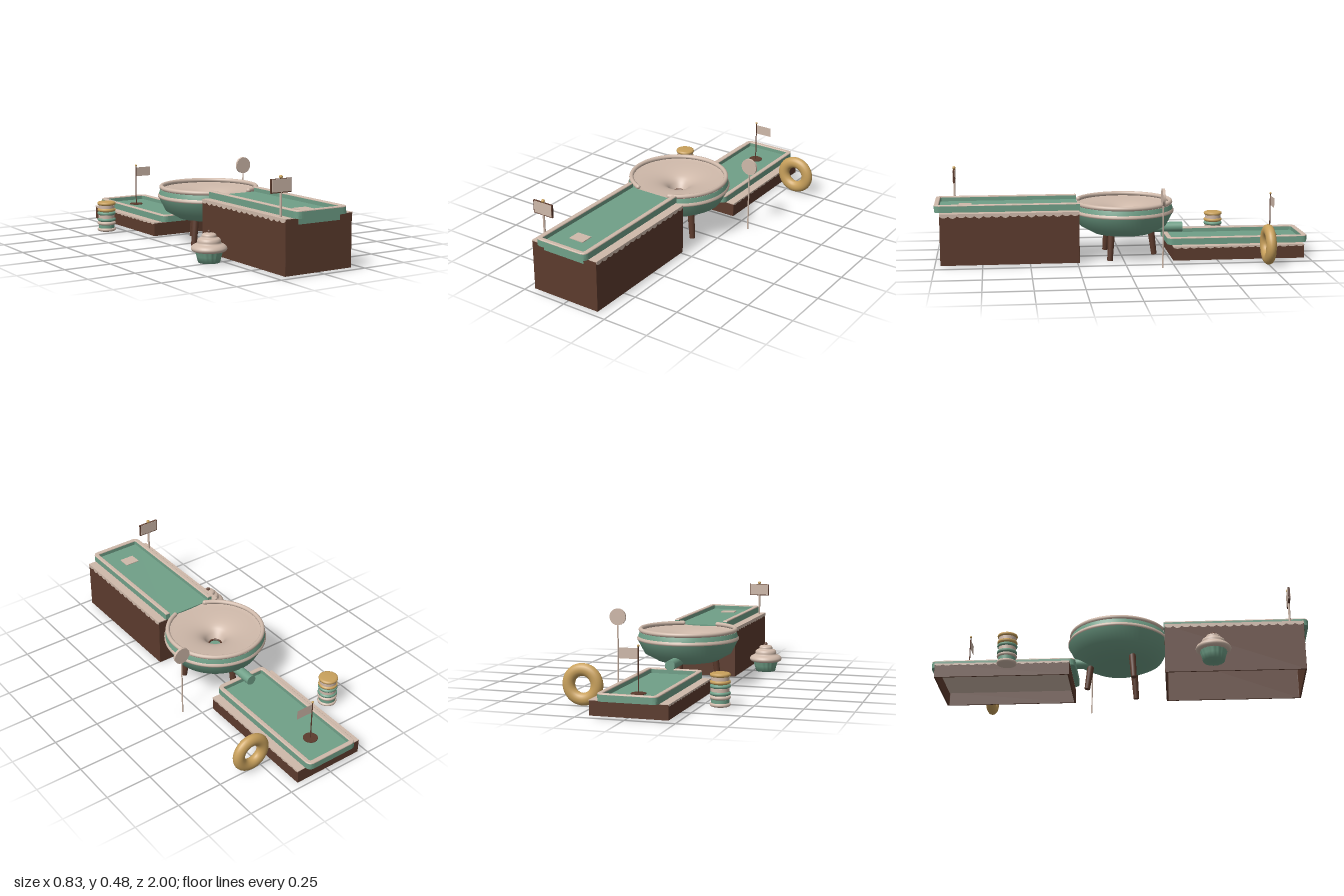
import * as THREE from 'three';

const mat = (name, color) => Object.assign(new THREE.MeshStandardMaterial({ color, side: THREE.DoubleSide }), { name });
const CX = -0.01, BZ = -0.01; // shared lane axis and bowl centre

export function createModel() {
  const cream = mat('cream', 0xcfb9aa), green = mat('mint green', 0x70a088);
  const brown = mat('chocolate brown', 0x5c3b2d), gold = mat('biscuit gold', 0xc9a15c);
  const root = new THREE.Group();
  const group = (name) => { const g = new THREE.Group(); g.name = name; root.add(g); return g; };
  const add = (parent, name, geo, m, x = 0, y = 0, z = 0) => {
    const mesh = new THREE.Mesh(geo, m);
    mesh.name = name;
    mesh.position.set(x, y, z);
    parent.add(mesh);
    return mesh;
  };
  const box = (w, h, d) => new THREE.BoxGeometry(w, h, d);
  const cyl = (r, h, n = 24) => new THREE.CylinderGeometry(r, r, h, n);
  const ball = (r) => new THREE.SphereGeometry(r, 16, 12);
  const lathe = (pts, n = 48) => new THREE.LatheGeometry(pts.map(p => new THREE.Vector2(...p)), n);

  // Outline on the ground plane (x, z); extrusions hang down from their top
  const roundRect = (S, x0, x1, z0, z1, r) => {
    const s = new S();
    s.moveTo(x0 + r, z0);
    s.lineTo(x1 - r, z0); s.quadraticCurveTo(x1, z0, x1, z0 + r);
    s.lineTo(x1, z1 - r); s.quadraticCurveTo(x1, z1, x1 - r, z1);
    s.lineTo(x0 + r, z1); s.quadraticCurveTo(x0, z1, x0, z1 - r);
    s.lineTo(x0, z0 + r); s.quadraticCurveTo(x0, z0, x0 + r, z0);
    return s;
  };
  const ring = (hw, z0, z1, t, r) => {
    const s = roundRect(THREE.Shape, -hw, hw, z0, z1, r);
    s.holes.push(roundRect(THREE.Path, -hw + t, hw - t, z0 + t, z1 - t, Math.max(r - t, 0.004)));
    return s;
  };
  const uShape = (hw, z0, z1, t, r) => {
    const s = new THREE.Shape(), i = hw - t, q = Math.max(r - t, 0.004), e = z1 - t;
    s.moveTo(hw, z0);
    s.lineTo(hw, z1 - r); s.quadraticCurveTo(hw, z1, hw - r, z1);
    s.lineTo(-hw + r, z1); s.quadraticCurveTo(-hw, z1, -hw, z1 - r);
    s.lineTo(-hw, z0); s.lineTo(-i, z0);
    s.lineTo(-i, e - q); s.quadraticCurveTo(-i, e, -i + q, e);
    s.lineTo(i - q, e); s.quadraticCurveTo(i, e, i, e - q);
    s.lineTo(i, z0);
    return s;
  };
  const extrude = (shape, depth, bevel = 0) => new THREE.ExtrudeGeometry(shape, {
    depth, curveSegments: 8, bevelEnabled: bevel > 0, bevelSize: bevel, bevelThickness: bevel,
    bevelOffset: -bevel, bevelSegments: 3,
  }).rotateX(Math.PI / 2);

  // Thin icing strip with a scalloped lower edge
  const dripStrip = (len, h, drop) => {
    const s = new THREE.Shape(), n = Math.round(len / 0.045), w = len / n;
    s.moveTo(-len / 2, h);
    s.lineTo(-len / 2, drop);
    for (let i = 0; i < n; i++) {
      const x = -len / 2 + i * w, d = drop * (i % 3 === 1 ? -0.4 : 0.1);
      s.quadraticCurveTo(x + w / 2, d - drop, x + w, drop);
    }
    s.lineTo(len / 2, h);
    return new THREE.ExtrudeGeometry(s, { depth: 0.002, bevelEnabled: false, curveSegments: 5 });
  };

  // A cake base, open underneath, with icing on top and a railed lane
  const section = (name, baseTop, b0, b1, l0, l1, open) => {
    const g = group(name), W = 0.395, L = b1 - b0, zc = (b0 + b1) / 2, low = baseTop < 0.2;
    g.position.x = CX;
    add(g, 'cakeBase', extrude(ring(W / 2, b0, b1, 0.008, 0.001), baseTop - 0.007), brown, 0, baseTop - 0.003);
    add(g, 'icingTop', box(W, 0.005, L), cream, 0, baseTop - 0.0025, zc);
    const drop = low ? 0.006 : 0.01, h = low ? 0.012 : 0.022;
    for (const s of [-1, 1]) {
      add(g, 'sideDrips', dripStrip(L, h, drop), cream, s * W / 2, baseTop - h, zc).rotation.y = s * Math.PI / 2;
    }
    // Lane floor, wall and rail
    const hw = 0.153, t = 0.025, top = baseTop + 0.04;
    add(g, 'laneFloor', extrude(roundRect(THREE.Shape, -hw + 0.004, hw - 0.004, l0 + 0.002, l1 - 0.002, 0.02), 0.012), green, 0, baseTop + 0.013);
    const outline = (tt) => (open ? uShape : ring)(hw, l0, l1, tt, 0.035);
    add(g, 'laneWall', extrude(outline(t), 0.033), green, 0, top - 0.007);
    add(g, 'laneRail', extrude(outline(t), 0.001, 0.005), cream, 0, top - 0.006);
    return g;
  };
  const start = section('startLane', 0.278, 0.24, 0.97, 0.235, 1.0, true);
  add(start, 'lanePanel', box(0.245, 0.032, 0.006), green, 0, 0.262, 0.97);
  add(start, 'teePad', box(0.082, 0.004, 0.068), cream, 0, 0.293, 0.84);
  const finish = section('finishLane', 0.08, -0.97, -0.26, -1.0, -0.235, false);
  add(finish, 'cup', cyl(0.038, 0.004), brown, 0, 0.0945, -0.825);
  add(finish, 'flagPole', cyl(0.003, 0.235, 10), brown, 0, 0.21, -0.825);
  add(finish, 'flagKnob', ball(0.006), gold, 0, 0.326, -0.825);
  add(finish, 'flag', new THREE.PlaneGeometry(0.095, 0.053), cream, 0.049, 0.287, -0.825);

  // Funnel bowl
  const bowl = group('funnelBowl');
  bowl.position.set(CX, 0, BZ);
  add(bowl, 'bowlShell', lathe([[0, 0.12], [0.1, 0.12], [0.165, 0.133], [0.235, 0.172], [0.272, 0.243],
    [0.271, 0.26], [0.262, 0.287]], 64), green);
  add(bowl, 'bowlBand', lathe([[0.268, 0.241], [0.275, 0.245], [0.276, 0.253], [0.27, 0.263]], 64), cream);
  const funnel = [[0.262, 0.287]];
  for (let i = 0; i <= 12; i++) {
    const r = 0.245 - i * 0.0175;
    funnel.push([r, 0.283 - 0.0035 * (1 / r - 1 / 0.245)]);
  }
  add(bowl, 'funnel', lathe(funnel, 64), cream);
  add(bowl, 'drainRing', new THREE.TorusGeometry(0.033, 0.005, 8, 32).rotateX(Math.PI / 2), brown, 0, 0.2, 0);
  add(bowl, 'drain', cyl(0.03, 0.07), green, 0, 0.157, 0);
  // Rim with a gap where the lane enters
  const gap = 0.4;
  const rim = add(bowl, 'bowlRim', new THREE.TorusGeometry(0.256, 0.012, 12, 72, Math.PI * 2 - gap * 2), cream, 0, 0.298, 0);
  rim.rotation.set(Math.PI / 2, 0, Math.PI / 2 + gap);
  for (const s of [-1, 1]) {
    add(bowl, 'rimEnd', ball(0.012), cream, s * 0.256 * Math.sin(gap), 0.298, 0.256 * Math.cos(gap));
  }
  add(bowl, 'outletPipe', cyl(0.027, 0.2).rotateX(Math.PI / 2), green, 0, 0.15, -0.225);
  // Three splayed legs
  for (let i = 0; i < 3; i++) {
    const pivot = new THREE.Group();
    pivot.name = 'leg';
    pivot.rotation.y = Math.PI + i * Math.PI * 2 / 3;
    bowl.add(pivot);
    add(pivot, 'legPost', new THREE.CylinderGeometry(0.019, 0.015, 0.15, 16), brown, 0, 0.075, 0.161).rotation.x = -0.13;
  }

  // Sign beside the start
  const sign = group('sign');
  sign.position.set(-0.186, 0, 0.9);
  add(sign, 'signPost', cyl(0.006, 0.13, 12), cream, 0, 0.335, 0);
  add(sign, 'signBoard', box(0.118, 0.068, 0.01), brown, 0, 0.426, 0);
  for (const s of [-1, 1]) add(sign, 'signFace', box(0.108, 0.062, 0.002), cream, 0, 0.428, s * 0.0055);
  add(sign, 'signKnob', ball(0.009), gold, 0, 0.468, 0);

  // Lollipop
  const lolly = group('lollipop');
  lolly.position.set(0.33, 0, -0.183);
  add(lolly, 'stick', cyl(0.004, 0.335, 10), cream, 0, 0.1675, 0);
  add(lolly, 'candyDisc', cyl(0.045, 0.013, 40).rotateX(Math.PI / 2), cream, 0, 0.373, 0);

  // Doughnut standing on edge
  const nut = group('doughnut');
  add(nut, 'doughnutRing', new THREE.TorusGeometry(0.0745, 0.032, 20, 48).scale(1, 1, 0.85), gold, 0.308, 0.1075, -0.745);

  // Cupcake with a fluted wrapper
  const cake = group('cupcake');
  cake.position.set(-0.325, 0, 0.49);
  const wrapper = lathe([[0, 0.004], [0.054, 0.004], [0.062, 0.035], [0.071, 0.066]], 64);
  const p = wrapper.attributes.position;
  for (let i = 0; i < p.count; i++) {
    const k = 1 + 0.025 * Math.cos(16 * Math.atan2(p.getX(i), p.getZ(i)));
    p.setXYZ(i, p.getX(i) * k, p.getY(i), p.getZ(i) * k);
  }
  wrapper.computeVertexNormals();
  add(cake, 'wrapper', wrapper, green);
  const swirl = new THREE.SplineCurve([[0.06, 0.058], [0.082, 0.061], [0.091, 0.075], [0.081, 0.09], [0.062, 0.1],
    [0.06, 0.113], [0.054, 0.124], [0.039, 0.131], [0.037, 0.141], [0.03, 0.148], [0.016, 0.152], [0, 0.158]]
    .map(q => new THREE.Vector2(...q)));
  add(cake, 'frosting', new THREE.LatheGeometry(swirl.getPoints(44), 40), cream);
  add(cake, 'cherry', ball(0.01), brown, 0, 0.158, 0);

  // Stack of three macarons
  const stack = group('macaronStack');
  stack.position.set(-0.345, 0, -0.567);
  [cream, green, gold].forEach((m, i) => {
    const y = 0.002 + i * 0.056;
    for (const off of [0, 0.036]) {
      add(stack, 'macaronShell', lathe([[0, 0], [0.042, 0], [0.05, 0.004], [0.052, 0.01], [0.05, 0.016], [0.042, 0.02], [0, 0.02]], 32), m, 0, y + off, 0);
    }
    add(stack, 'macaronFilling', cyl(0.045, 0.018, 32), i === 0 ? green : cream, 0, y + 0.028, 0);
  });
  return root;
}
